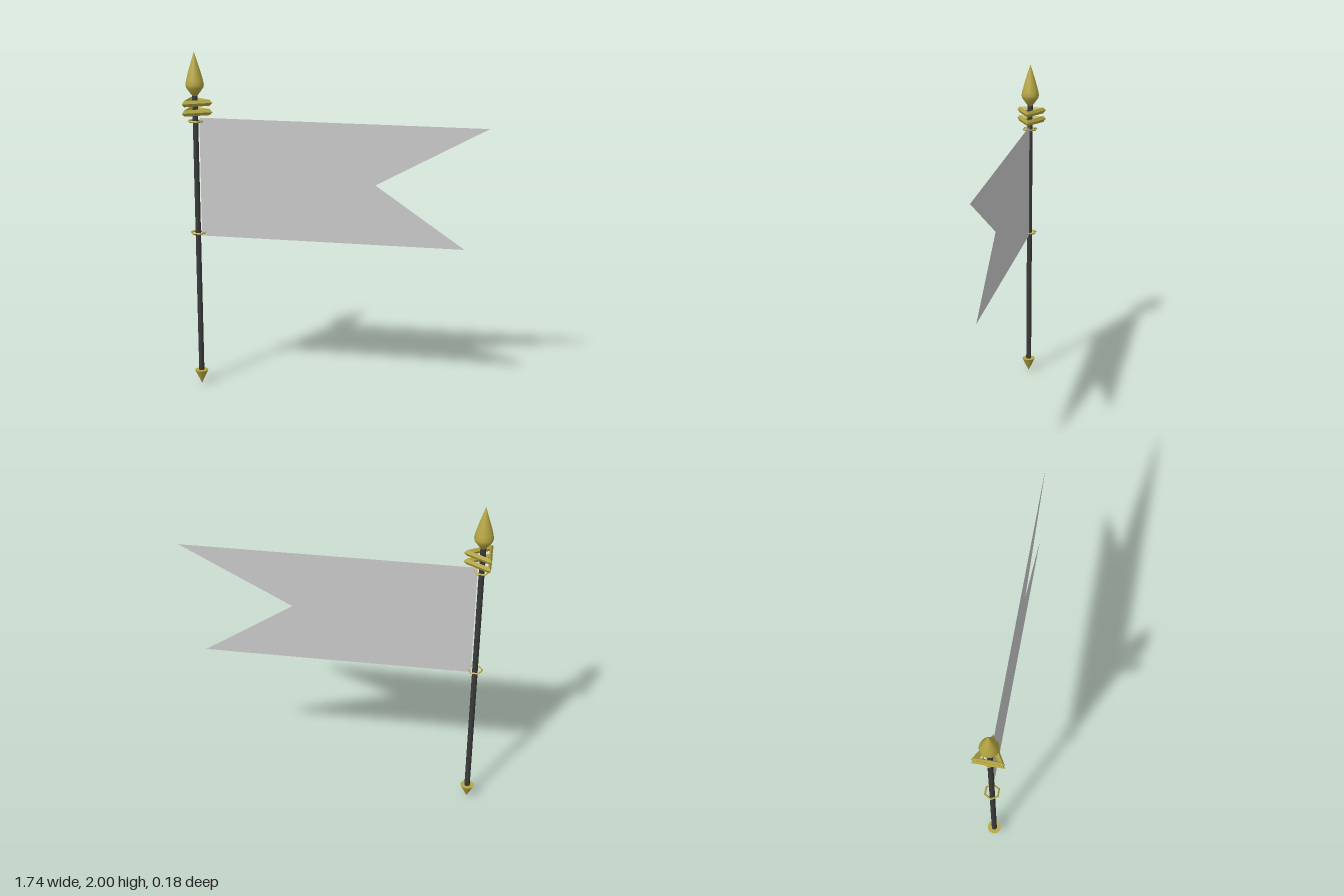
import * as THREE from 'three';

const POLE_X = -0.823;

const brass = new THREE.MeshStandardMaterial({ color: 0xb5a642 });
const brassFlat = new THREE.MeshStandardMaterial({ color: 0xb5a642, flatShading: true });
const iron = new THREE.MeshStandardMaterial({ color: 0x3a3a3a });
const cloth = new THREE.MeshStandardMaterial({ color: 0xcccccc, side: THREE.DoubleSide });

function add(parent, name, geometry, material, y = 0) {
  const mesh = new THREE.Mesh(geometry, material);
  mesh.name = name;
  mesh.position.y = y;
  parent.add(mesh);
  return mesh;
}

// Horizontal ring with a diamond section and few sides, one corner towards +x
function ring(outerRadius, thickness, sides) {
  return new THREE.TorusGeometry(outerRadius - thickness, thickness, 4, sides).rotateX(-Math.PI / 2);
}

export function createModel() {
  const model = new THREE.Group();
  model.name = 'banner';

  const staff = new THREE.Group();
  staff.name = 'staff';
  staff.position.x = POLE_X;
  model.add(staff);

  // Pole
  add(staff, 'pole', new THREE.CylinderGeometry(0.016, 0.016, 1.7, 12), iron, 0.91);

  // Pointed foot
  add(staff, 'foot', new THREE.ConeGeometry(0.04, 0.085, 16).rotateX(Math.PI), brass, 0.0425);

  // Spearhead finial
  const profile = [
    [0, 1.74], [0.014, 1.745], [0.032, 1.77], [0.049, 1.794], [0.053, 1.812],
    [0.048, 1.838], [0.034, 1.89], [0.017, 1.945], [0, 2],
  ].map(([r, y]) => new THREE.Vector2(r, y));
  add(staff, 'spearhead', new THREE.LatheGeometry(profile, 32), brass);

  // Triangular collars below the spearhead
  for (const y of [1.709, 1.655]) add(staff, 'triangleCollar', ring(0.103, 0.018, 3), brassFlat, y);

  // Hexagonal rings that hold the cloth
  for (const y of [1.6, 0.938]) add(staff, 'flagRing', ring(0.048, 0.006, 6), brassFlat, y);

  // Swallow-tailed flag
  const outline = new THREE.Shape([
    [-0.8, 0.92], [0.74, 0.92], [0.226, 1.27], [0.866, 1.62], [-0.8, 1.62],
  ].map(([x, y]) => new THREE.Vector2(x, y)));
  add(model, 'flag', new THREE.ShapeGeometry(outline), cloth);

  return model;
}
